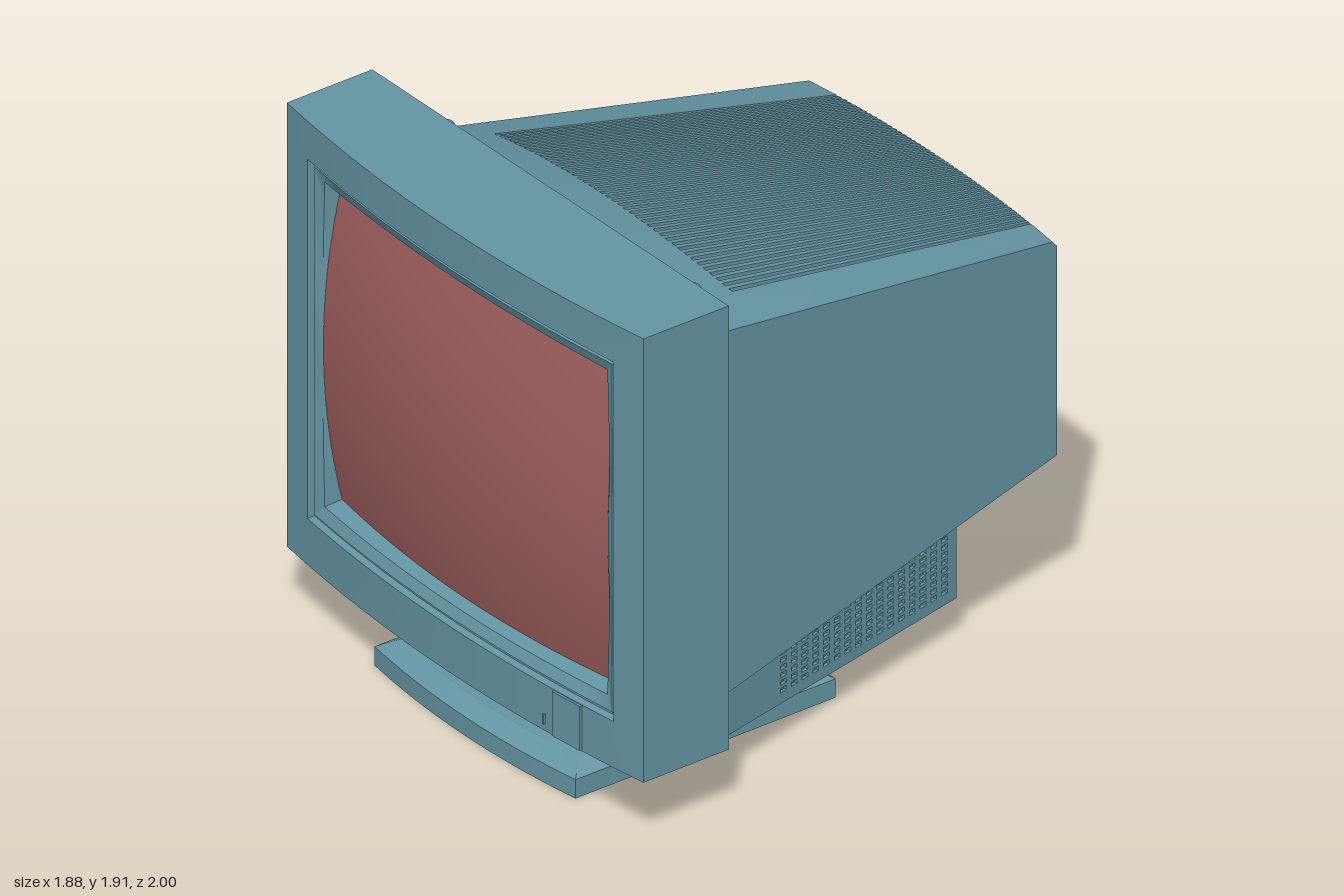
import * as THREE from 'three';
import { toCreasedNormals } from 'three/addons/utils/BufferGeometryUtils.js';

const plastic = new THREE.MeshStandardMaterial({ color: 0x6596a4 });
const glass = new THREE.MeshStandardMaterial({ color: 0xa06060 });
const lerp = THREE.MathUtils.lerp;

// Skin a list of equally long rows of [x, y, z] points, dropping empty triangles
function skin(rows, crease = 0.5) {
  const out = [];
  const tri = new THREE.Triangle();
  const add = (...pts) => {
    tri.set(...pts.map((p) => new THREE.Vector3(...p)));
    if (tri.getArea() > 1e-8) pts.forEach((p) => out.push(...p));
  };
  for (let i = 0; i + 1 < rows.length; i++) {
    for (let j = 0; j + 1 < rows[i].length; j++) {
      const a = rows[i][j], b = rows[i][j + 1], c = rows[i + 1][j + 1], d = rows[i + 1][j];
      add(a, b, c);
      add(a, c, d);
    }
  }
  const geo = new THREE.BufferGeometry();
  geo.setAttribute('position', new THREE.Float32BufferAttribute(out, 3));
  return toCreasedNormals(geo, crease);
}

// Counter-clockwise walk round the unit square, corners included, closed
function perimeter(n = 16) {
  const pts = [];
  const corners = [[-1, -1], [1, -1], [1, 1], [-1, 1], [-1, -1]];
  for (let s = 0; s < 4; s++) {
    for (let k = 0; k < n; k++) {
      pts.push([0, 1].map((a) => lerp(corners[s][a], corners[s + 1][a], k / n)));
    }
  }
  pts.push([-1, -1]);
  return pts;
}

// Shape rules of the tapering rear housing
const along = (z) => (0.49 - z) / 1.46;
const halfWidth = (z) => lerp(0.8, 0.64, Math.max(0, along(z)));
const bottomY = (z) => lerp(0.37, 0.67, (0.49 - z) / 1.49);
function topY(t, z) {
  const edge = lerp(1.72, 1.46, along(z));
  const crown = lerp(1.86, 1.475, (0.56 - z) / 1.53);
  return edge + (crown - edge) * (1 - t * t);
}
const frontZ = (t) => 0.56 - 0.07 * t * t;
const rearZ = (t) => -1 + 0.03 * t * t;

// Bezel and screen rules
const faceZ = (x) => 0.93 + 0.07 * (1 - (x / 0.94) ** 2);
function screenPoint(u, v) {
  const x = 0.75 * u * (1 - 0.02 * v * v);
  const y = 1.105 + 0.6 * v * (1 - 0.012 * u * u);
  return [x, y, 0.99 - x * x / 9 - (y - 1.1) ** 2 / 5.2];
}

function housingGeometry() {
  // Columns across the width: kind 0 = plain edge, 1 = land, 2 = groove
  const slots = 42, pitch = 1.62 / slots;
  const columns = [[-1, 0], [-0.9, 0], [-0.83, 0], [-0.83, 1]];
  for (let k = 0; k < slots; k++) {
    const a = -0.81 + (k + 0.25) * pitch, b = a + pitch / 2;
    columns.push([a, 1], [a, 2], [b, 2], [b, 1]);
  }
  columns.push([0.83, 1], [0.83, 0], [0.9, 0], [1, 0]);

  const D = 0.03;
  const column = ([t, kind]) => {
    const zs = 0.37 - 0.06 * t * t, zr = rearZ(t), zt = zr + 0.02;
    // y, z, inward y, inward z, groove depth, land depth
    const path = [
      [topY(t, frontZ(t)), frontZ(t), -1, 0, 0, 0],
      [topY(t, zs), zs, -1, 0, 0, 0],
      [topY(t, zs), zs, -1, 0, D, 0],
      [topY(t, zt), zt, -1, 0, D, 0],
      [1.44, zr, -0.5, 1, D, 0],
      [1.38, zr, 0, 1, D, 0],
      [1.38, zr, 0, 1, 0, 0],
      [1.36, zr, 0, 1, 0, 0],
      [1.36, zr, 0, 1, 0.008, 0.008],
      [0.77, zr, 0, 1, 0.008, 0.008],
      [0.77, zr, 0, 1, 0, 0],
      [0.75, zr, 0, 1, 0, 0],
      [0.75, zr, 0, 1, D, 0],
      [bottomY(zr), zr, 1, 1, D, 0],
      [bottomY(-0.68), -0.68, 1, 0, D, 0],
      [bottomY(-0.68), -0.68, 1, 0, 0, 0],
      [bottomY(0.49), 0.49, 1, 0, 0, 0],
    ];
    return path.map(([y, z, ny, nz, groove, land]) => {
      const d = [0, land, groove][kind];
      return [t * halfWidth(z), y + ny * d, z + nz * d];
    });
  };
  const rows = columns.reverse().map(column);
  // Flat side walls fan out from the middle of their front edge
  const wall = (s) => rows[0].map(() => [s * 0.8, 1.05, 0.49]);
  return skin([wall(1), ...rows, wall(-1)]);
}

function bezelGeometry() {
  const ring = perimeter();
  const rect = (hw, y0, y1, dz) => ring.map(([u, v]) => [u * hw, lerp(y0, y1, (v + 1) / 2), faceZ(u * hw) - dz]);
  const rearInner = ring.map(([u, v]) => {
    if (v === 1) return [0.8 * u, topY(u, frontZ(u)), frontZ(u)];
    const y = lerp(0.265, 1.72, (v + 1) / 2);
    const low = Math.max(0, 1 - (y - 0.265) / 0.1);
    return [u * (0.8 + 0.02 * low), y, 0.49 + 0.025 * low];
  });
  const ledge = rect(0.785, 0.458, 1.752, 0.014);
  const lip = ring.map(([u, v], i) => {
    const s = screenPoint(u, v);
    const x = lerp(ledge[i][0], s[0], 0.8);
    return [x, lerp(ledge[i][1], s[1], 0.8), Math.max(faceZ(x) - 0.03, s[2] + 0.005)];
  });
  return skin([
    rearInner,
    ring.map(([u, v]) => [0.94 * u, lerp(0.265, 1.915, (v + 1) / 2), 0.585]),
    rect(0.94, 0.265, 1.915, 0),
    rect(0.807, 0.437, 1.773, 0),
    rect(0.802, 0.442, 1.768, 0.025),
    rect(0.795, 0.449, 1.761, 0.025),
    ledge,
    lip,
    ring.map(([u, v]) => screenPoint(u, v)),
  ]);
}

function screenGeometry(n = 24) {
  const rows = [];
  for (let i = 0; i <= n; i++) {
    rows.push(Array.from({ length: n + 1 }, (_, j) => screenPoint((2 * j) / n - 1, (2 * i) / n - 1)));
  }
  return skin(rows, 1);
}

// Electronics box under the housing, narrowing to the rear
function lowerBoxGeometry() {
  const half = [[0.825, -0.85], [0.825, -0.66], [0.79, -0.655], [0.5, 0.66]];
  const plan = new THREE.Shape([...half, ...half.map(([x, y]) => [-x, y]).reverse()]
    .map(([x, y]) => new THREE.Vector2(x, y)));
  const geo = new THREE.ExtrudeGeometry(plan, { depth: 1, bevelEnabled: false }).rotateX(-Math.PI / 2);
  const p = geo.attributes.position;
  for (let i = 0; i < p.count; i++) {
    const z = p.getZ(i), low = p.getY(i) < 0.5;
    if (low && z > 0.6) p.setX(i, p.getX(i) * 0.965);
    p.setY(i, low ? 0.182 : z > 0.5 ? 0.33 : bottomY(z) + 0.02);
  }
  geo.computeVertexNormals();
  return geo;
}

// Perforated side plate of the lower box
function ventPanel(side) {
  const len = Math.hypot(0.29, 1.32);
  const pt = (z, y) => new THREE.Vector2(((0.66 - z) / 1.32) * len * side, y);
  const shape = new THREE.Shape([pt(0.655, 0.182), pt(-0.66, 0.182), pt(-0.66, 0.61), pt(0.45, 0.385), pt(0.655, 0.33)]);
  for (let c = 0; c < 16; c++) {
    const z = 0.18 - c * 0.052;
    for (let r = 0; r < 10; r++) {
      const y = 0.23 + r * 0.028;
      if (y > bottomY(z) - 0.04) continue;
      shape.holes.push(new THREE.Path([pt(z + 0.014, y - 0.008), pt(z - 0.014, y - 0.008),
        pt(z - 0.014, y + 0.008), pt(z + 0.014, y + 0.008)]));
    }
  }
  const mesh = new THREE.Mesh(new THREE.ExtrudeGeometry(shape, { depth: 0.012, bevelEnabled: false }), plastic);
  mesh.position.set(0.79 * side, 0, 0.66);
  mesh.rotation.y = side * Math.atan2(1.32, -0.29);
  return mesh;
}

// Bow-fronted foot, hollow underneath
function footGeometry() {
  const ring = perimeter(12);
  const row = (inset, y, k = 1) => ring.map(([u, v]) => {
    const z = v < 0 ? lerp(0.37, 0.89 + 0.04 * (1 - u * u) - inset, -v) : lerp(0.37, -0.16 + inset, v);
    return [k * u * (0.53 - inset), y, lerp(0.37, z, k)];
  });
  return skin([row(0, 0.05, 0), row(0.05, 0.05), row(0.03, 0), row(0, 0), row(0, 0.07), row(0.06, 0.105), row(0, 0.105, 0)]);
}

const lathe = (profile, sides) => new THREE.LatheGeometry(profile.map(([r, y]) => new THREE.Vector2(r, y)), sides);

export function createModel() {
  const model = new THREE.Group();
  model.name = 'monitor';
  const add = (name, object, x = 0, y = 0, z = 0, mat = plastic) => {
    const mesh = object.isObject3D ? object : new THREE.Mesh(object, mat);
    if (!object.isObject3D) mesh.position.set(x, y, z);
    mesh.name = name;
    model.add(mesh);
    return mesh;
  };

  add('bezel', bezelGeometry());
  add('screen', screenGeometry(), 0, 0, 0, glass);
  add('bezelBack', new THREE.BoxGeometry(1.6, 0.2, 0.03), 0, 0.367, 0.507);
  add('rearHousing', housingGeometry());
  add('lowerBox', lowerBoxGeometry());

  // Control flap and indicator on the bezel's lower edge
  add('controlFlap', new THREE.BoxGeometry(0.13, 0.165, 0.02), 0.597, 0.352, 0.971).rotation.y = 0.095;
  add('indicator', new THREE.BoxGeometry(0.008, 0.035, 0.02), 0.487, 0.31, 0.979);

  for (const side of [1, -1]) {
    const label = side > 0 ? 'left' : 'right';
    add(label + 'VentPanel', ventPanel(side));
    // Screw sockets on the rear chamfer
    const upper = add(label + 'UpperSocket', new THREE.TorusGeometry(0.028, 0.008, 6, 16), side * 0.65, 1.81, 0.516);
    upper.rotation.x = -1.2;
    const lower = add(label + 'LowerSocket', new THREE.TorusGeometry(0.025, 0.006, 6, 16), side * 0.87, 0.33, 0.54);
    lower.rotation.y = side * 2.57;
  }

  // Tilt stand
  add('swivelDish', lathe([[0.33, 0.1], [0.35, 0.115], [0.338, 0.14], [0.315, 0.165], [0.28, 0.185], [0.26, 0.19]], 40), 0, 0, 0.38);
  add('foot', footGeometry());
  const collar = lathe([[0, 0.035], [0.23, 0.035], [0.26, 0.01], [0.28, 0.01], [0.35, 0.052]], 10);
  add('swivelCollar', toCreasedNormals(collar, 0.4), 0, 0, 0.38);
  return model;
}
